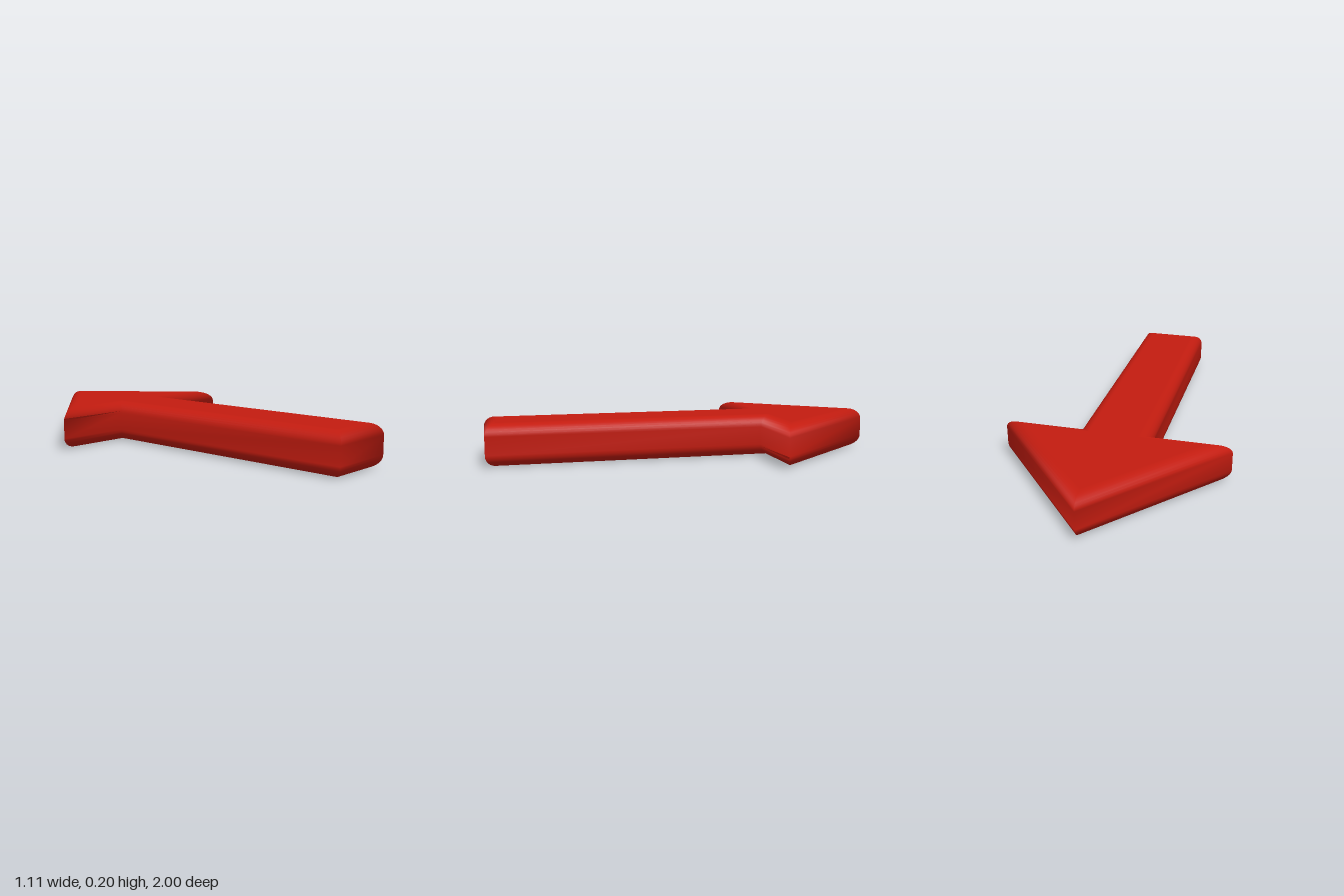
import * as THREE from 'three';

const HEIGHT = 0.205, BEVEL = 0.058, STEPS = 8;

// Arrow outline seen from above, counter-clockwise, tip towards the back
const outline = [
  [-0.175, -1], [0.175, -1], [0.175, 0.36], [0.555, 0.36],
  [0, 1], [-0.555, 0.36], [-0.175, 0.36],
].map(([x, y]) => new THREE.Vector2(x, y));

// True mitre direction for moving each corner inwards by one unit
function mitres(points) {
  const n = points.length;
  const normals = points.map((p, i) => {
    const d = points[(i + 1) % n].clone().sub(p).normalize();
    return new THREE.Vector2(-d.y, d.x);
  });
  return normals.map((b, i) => {
    const a = normals[(i + n - 1) % n];
    return a.clone().add(b).divideScalar(1 + a.dot(b));
  });
}

// Slab with quarter-round edges, built from stacked inset outlines
function roundedSlab(points, height, radius, steps) {
  const n = points.length, inward = mitres(points), rings = [];
  for (const base of [radius, height - radius]) {
    for (let k = 0; k <= steps; k++) {
      const a = (k / steps) * Math.PI / 2 - (base === radius ? Math.PI / 2 : 0);
      rings.push({ inset: radius * (1 - Math.cos(a)), y: base + radius * Math.sin(a) });
    }
  }
  const position = [], index = [];
  rings.forEach(({ inset, y }, j) => {
    points.forEach((p, i) => {
      const q = p.clone().addScaledVector(inward[i], inset);
      position.push(q.x, y, -q.y);
      if (j === rings.length - 1) return;
      const a = j * n + i, b = j * n + (i + 1) % n;
      index.push(a, b, b + n, a, b + n, a + n);
    });
  });
  // Flat top and bottom
  const top = (rings.length - 1) * n;
  for (const [a, b, c] of THREE.ShapeUtils.triangulateShape(points, [])) {
    index.push(top + a, top + b, top + c, c, b, a);
  }
  const geometry = new THREE.BufferGeometry();
  geometry.setAttribute('position', new THREE.Float32BufferAttribute(position, 3));
  geometry.setIndex(index);
  geometry.computeVertexNormals();
  return geometry;
}

export function createModel() {
  const group = new THREE.Group();
  group.name = 'arrow';
  const red = new THREE.MeshStandardMaterial({ color: 0xc41c10 });
  const body = new THREE.Mesh(roundedSlab(outline, HEIGHT, BEVEL, STEPS), red);
  body.name = 'arrowBody';
  group.add(body);
  return group;
}
